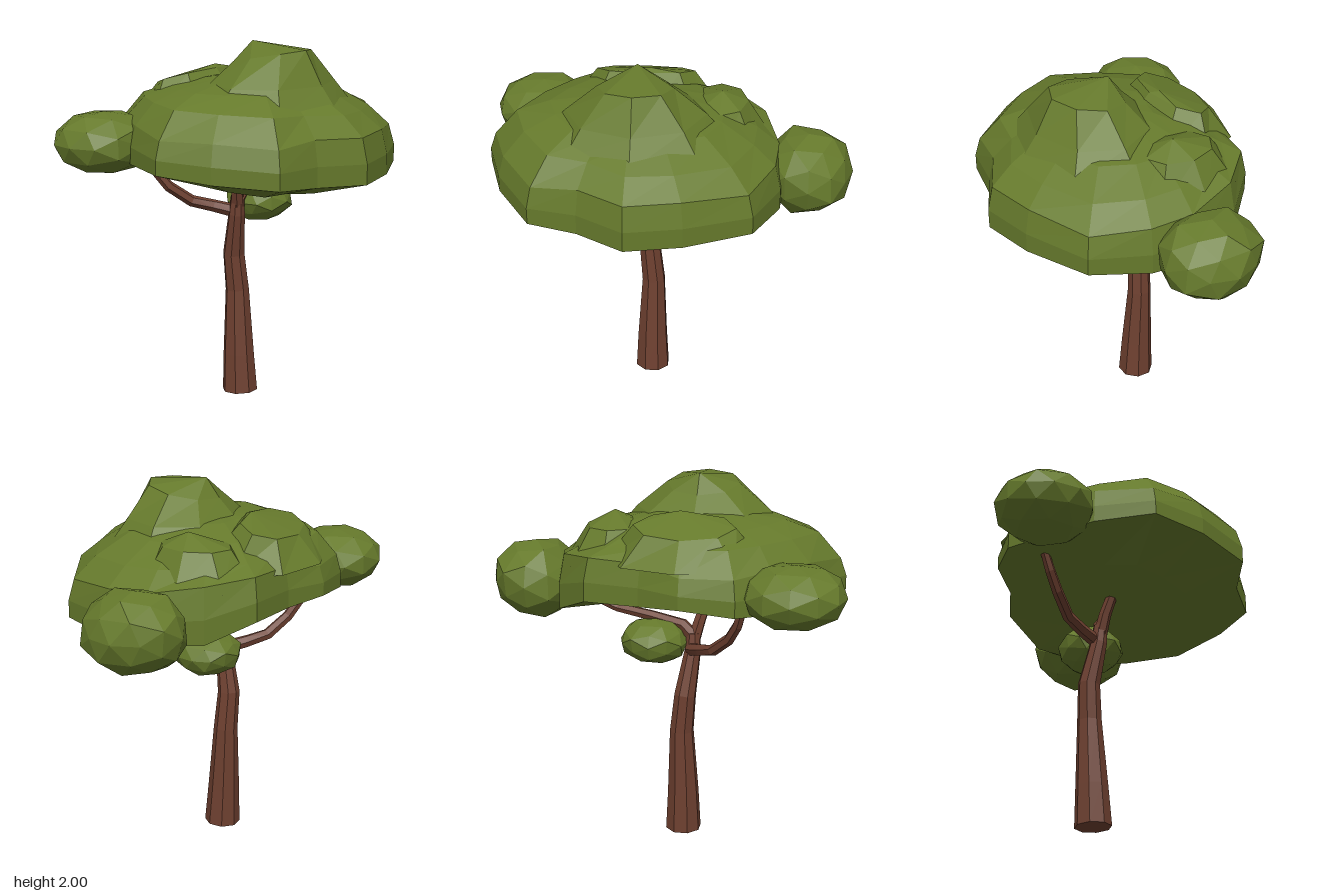
import * as THREE from 'three';

const leafMat = new THREE.MeshStandardMaterial({ color: 0x667a2c, flatShading: true });
const barkMat = new THREE.MeshStandardMaterial({ color: 0x6e4030, flatShading: true });
const V = (x, y, z) => new THREE.Vector3(x, y, z);

// Joins rings of points, lowest first, and closes both ends with a fan
function loft(rings, mat, name) {
  const n = rings[0].length;
  const pos = [];
  const tri = (...pts) => pts.forEach((p) => pos.push(p.x, p.y, p.z));
  const middle = (ring) => ring.reduce((s, p) => s.add(p), V(0, 0, 0)).divideScalar(n);
  const low = rings[0].pole || middle(rings[0]);
  const top = rings[rings.length - 1];
  const high = top.pole || middle(top);
  for (let i = 0; i < n; i++) {
    const j = (i + 1) % n;
    tri(low, rings[0][i], rings[0][j]);
    for (let k = 0; k < rings.length - 1; k++) {
      const a = rings[k], b = rings[k + 1];
      tri(a[i], b[i], a[j]);
      tri(a[j], b[i], b[j]);
    }
    tri(top[i], high, top[j]);
  }
  const geo = new THREE.BufferGeometry();
  geo.setAttribute('position', new THREE.Float32BufferAttribute(pos, 3));
  geo.computeVertexNormals();
  const mesh = new THREE.Mesh(geo, mat);
  mesh.name = name;
  return mesh;
}

// Tapered limb along a path of [x, y, z, radius]
function limb(path, sides, name) {
  const pts = path.map((p) => V(p[0], p[1], p[2]));
  const rings = path.map((p, k) => {
    const dir = pts[Math.min(k + 1, pts.length - 1)].clone().sub(pts[Math.max(k - 1, 0)]).normalize();
    const q = new THREE.Quaternion().setFromUnitVectors(V(0, 1, 0), dir);
    return Array.from({ length: sides }, (_, i) => {
      const a = ((i + 0.5) / sides) * Math.PI * 2;
      return V(Math.cos(a) * p[3], 0, Math.sin(a) * p[3]).applyQuaternion(q).add(pts[k]);
    });
  });
  return loft(rings, barkMat, name);
}

// Uneven, slightly boxy leaf clump; the wobble depends only on the corner's direction
function clump(name, center, radii, seed) {
  const geo = new THREE.IcosahedronGeometry(1, 1);
  const pos = geo.attributes.position;
  const v = V(0, 0, 0);
  const power = 2.2;
  for (let i = 0; i < pos.count; i++) {
    v.fromBufferAttribute(pos, i).normalize();
    const wobble = 1 + 0.05 * Math.sin(v.x * 5 + seed) * Math.cos(v.z * 6 + v.y * 4 + seed * 2);
    const sum = v.toArray().reduce((s, c) => s + Math.abs(c) ** power, 0);
    v.multiplyScalar(wobble / sum ** (1 / power));
    pos.setXYZ(i, v.x * radii[0], v.y * radii[1], v.z * radii[2]);
  }
  geo.computeVertexNormals();
  const mesh = new THREE.Mesh(geo, leafMat);
  mesh.position.set(...center);
  mesh.name = name;
  return mesh;
}

// Wide main canopy: outline points are [x, z, rim height, shoulder height]
function canopy() {
  const outline = [
    [0.64, 0, 1.28, 1.55], [0.62, 0.25, 1.29, 1.54], [0.48, 0.55, 1.31, 1.52],
    [0.13, 0.71, 1.31, 1.55], [-0.17, 0.77, 1.31, 1.55], [-0.42, 0.63, 1.32, 1.56],
    [-0.68, 0.58, 1.34, 1.54], [-0.87, 0.3, 1.37, 1.57], [-0.96, 0.02, 1.4, 1.57],
    [-0.81, -0.27, 1.4, 1.6], [-0.63, -0.5, 1.38, 1.6], [-0.45, -0.66, 1.39, 1.58],
    [-0.16, -0.67, 1.42, 1.58], [0.07, -0.56, 1.4, 1.62], [0.37, -0.51, 1.4, 1.63],
    [0.56, -0.3, 1.3, 1.6],
  ];
  const cx = -0.15;
  const ring = (s, y) => outline.map((p) => V(cx + (p[0] - cx) * s, y(p), p[1] * s));
  const rings = [
    ring(0.55, (p) => 1.29 - 0.09 * p[1]),
    ring(0.99, (p) => p[2]),
    ring(0.99, (p) => p[2] * 0.55 + p[3] * 0.45),
    ring(0.95, (p) => p[3]),
    ring(0.8, (p) => 1.67 - 0.04 * p[0] - 0.03 * p[1]),
    ring(0.58, (p) => 1.75 - 0.02 * p[0]),
    ring(0.3, () => 1.8),
  ];
  rings[0].pole = V(cx, 1.28, 0);
  rings[6].pole = V(cx, 1.82, 0);
  return loft(rings, leafMat, 'mainCanopy');
}

// Blunt mound on the canopy: layers are [y, x, z, half width, half depth, slope towards the front]
function mound(name, layers, peak) {
  const rings = layers.map(([y, x, z, rx, rz, slope]) => Array.from({ length: 8 }, (_, i) => {
    const a = (i / 8) * Math.PI * 2;
    const dz = Math.sin(a) * rz;
    return V(x + Math.cos(a) * rx, y + slope * dz, z + dz);
  }));
  rings[rings.length - 1].pole = V(...peak);
  return loft(rings, leafMat, name);
}

export function createModel() {
  const tree = new THREE.Group();
  tree.name = 'tree';

  // Bent trunk and its branches
  const wood = new THREE.Group();
  wood.name = 'wood';
  wood.add(
    limb([
      [-0.092, 0, -0.105, 0.1], [-0.092, 0.22, -0.113, 0.088], [-0.085, 0.59, -0.126, 0.067],
      [-0.105, 0.8, -0.134, 0.061], [-0.138, 1.04, -0.088, 0.046], [-0.14, 1.14, -0.08, 0.038],
    ], 8, 'trunk'),
    limb([
      [-0.13, 1.05, -0.1, 0.038], [-0.2, 1.08, -0.2, 0.034], [-0.28, 1.11, -0.29, 0.032],
      [-0.38, 1.2, -0.37, 0.03], [-0.43, 1.29, -0.42, 0.028], [-0.46, 1.39, -0.46, 0.024],
    ], 6, 'backBranch'),
    limb([
      [-0.14, 1.12, -0.08, 0.038], [-0.08, 1.18, -0.07, 0.034], [0.1, 1.215, -0.04, 0.03],
      [0.3, 1.245, -0.01, 0.026], [0.42, 1.29, 0, 0.022], [0.47, 1.33, 0, 0.018],
    ], 6, 'sideBranch'),
    limb([[-0.14, 1.09, -0.08, 0.038], [-0.17, 1.2, -0.06, 0.034], [-0.2, 1.3, -0.03, 0.03]], 6, 'upperBranch'),
  );

  // Leaves
  const leaves = new THREE.Group();
  leaves.name = 'leaves';
  leaves.add(
    canopy(),
    mound('crown', [
      [1.66, -0.15, 0.15, 0.48, 0.42, 0], [1.79, -0.15, 0.16, 0.37, 0.31, 0], [1.93, -0.15, 0.16, 0.2, 0.21, 0.18],
    ], [-0.15, 2, 0.03]),
    mound('backMound', [
      [1.6, -0.14, -0.33, 0.42, 0.32, 0], [1.79, -0.14, -0.37, 0.27, 0.15, 0.3],
    ], [-0.1, 1.85, -0.26]),
    mound('sideMound', [
      [1.55, 0.28, -0.13, 0.27, 0.33, 0], [1.74, 0.28, -0.12, 0.15, 0.2, 0],
    ], [0.29, 1.81, -0.08]),
    clump('leftClump', [0.755, 1.395, -0.005], [0.235, 0.215, 0.275], 3),
    clump('rightClump', [-0.73, 1.485, -0.515], [0.265, 0.165, 0.26], 4),
    clump('lowClump', [0.075, 1.09, -0.087], [0.185, 0.12, 0.18], 5),
  );

  tree.add(wood, leaves);
  return tree;
}
